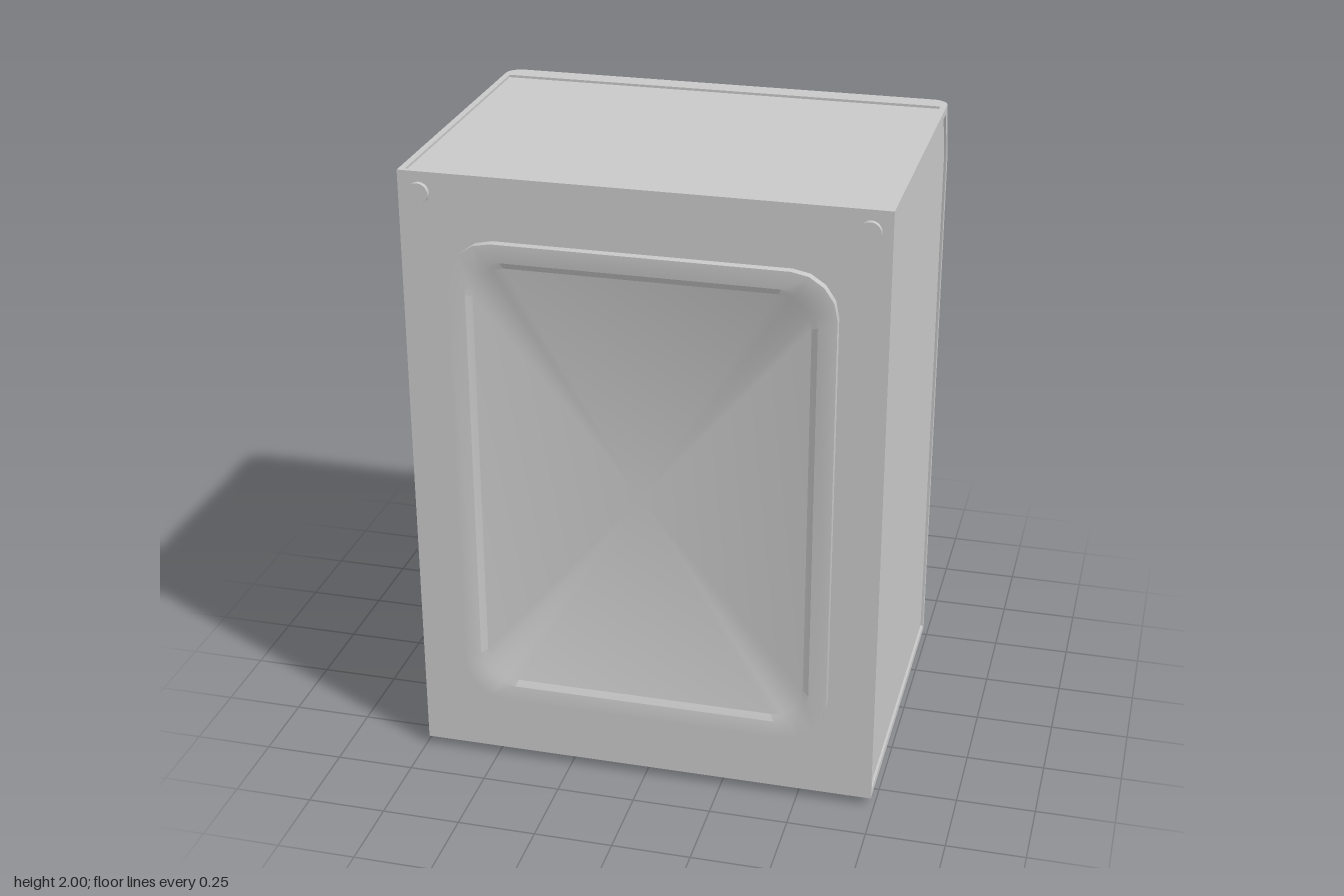
import * as THREE from 'three';
import { toCreasedNormals } from 'three/addons/utils/BufferGeometryUtils.js';

const V = (x, y, z) => new THREE.Vector3(x, y, z);

// Skin a row of equal-length closed rings and close both ends with fans
function loft(rings) {
  const pos = [];
  const tri = (...pts) => pts.forEach((p) => pos.push(p.x, p.y, p.z));
  const n = rings[0].length;
  for (let i = 0; i < rings.length - 1; i++) {
    for (let j = 0; j < n; j++) {
      const k = (j + 1) % n;
      const a = rings[i][j], b = rings[i][k], c = rings[i + 1][k], d = rings[i + 1][j];
      if (a.distanceTo(b) > 1e-6) tri(a, b, c);
      if (c.distanceTo(d) > 1e-6) tri(a, c, d);
    }
  }
  const centre = (r) => r.reduce((s, p) => s.add(p), V(0, 0, 0)).divideScalar(n);
  const first = rings[0], last = rings[rings.length - 1];
  const c0 = centre(first), c1 = centre(last);
  for (let j = 0; j < n; j++) {
    const k = (j + 1) % n;
    tri(c0, first[k], first[j]);
    tri(c1, last[j], last[k]);
  }
  const g = new THREE.BufferGeometry();
  g.setAttribute('position', new THREE.Float32BufferAttribute(pos, 3));
  return toCreasedNormals(g, 0.5);
}

// Horizontal cabinet section: rounded door-side corners, side panels sunk by "sink"
function section(y, zf, sink) {
  const w = 0.74, r = 0.05, half = [];
  half.push([w, 0.6], [w, 0.585], [w - sink, 0.585], [w - sink, zf + 0.075], [w, zf + 0.075]);
  for (let i = 0; i <= 6; i++) {
    const a = (i / 6) * Math.PI / 2;
    half.push([w - r + r * Math.cos(a), zf + r - r * Math.sin(a)]);
  }
  const other = half.map(([x, z]) => [-x, z]).reverse();
  return [...half, ...other].map(([x, z]) => V(x, y, z));
}

// Rounded rectangle ring facing +z
function roundRing(w, h, r, cy, z) {
  const pts = [];
  for (let q = 0; q < 4; q++) {
    const sx = q === 0 || q === 3 ? 1 : -1, sy = q < 2 ? 1 : -1;
    for (let i = 0; i <= 4; i++) {
      const a = (q + i / 4) * Math.PI / 2;
      pts.push(V(sx * (w - r) + r * Math.cos(a), cy + sy * (h - r) + r * Math.sin(a), z));
    }
  }
  return pts;
}

function rectPath(path, x0, x1, y0, y1, r) {
  path.moveTo(x0 + r, y0);
  path.lineTo(x1 - r, y0);
  path.quadraticCurveTo(x1, y0, x1, y0 + r);
  path.lineTo(x1, y1 - r);
  path.quadraticCurveTo(x1, y1, x1 - r, y1);
  path.lineTo(x0 + r, y1);
  path.quadraticCurveTo(x0, y1, x0, y1 - r);
  path.lineTo(x0, y0 + r);
  path.quadraticCurveTo(x0, y0, x0 + r, y0);
  return path;
}

export function createModel() {
  const model = new THREE.Group();
  const shell = new THREE.MeshStandardMaterial({ color: 0xc8c8c8 });
  shell.name = 'light grey enamel';
  const glass = new THREE.MeshStandardMaterial({ color: 0x586060 });
  glass.name = 'dark door glass';
  const add = (name, geo, mat = shell, parent = model) => {
    const m = new THREE.Mesh(geo, mat);
    m.name = name;
    parent.add(m);
    return m;
  };

  // Cabinet with sunken side and top panels and a sloping control edge
  const slopeZ = (y) => (y < 1.8 ? -0.54 : -0.54 + (y - 1.8) * 0.35);
  const layers = [[0.03, 0], [0.055, 0], [0.055, 0.008], [1.8, 0.008], [1.975, 0.008], [1.975, 0], [2, 0]];
  const rings = layers.map(([y, sink]) => section(y, slopeZ(y), sink));
  const inset = (y) => rings[6].map((p) =>
    V(THREE.MathUtils.clamp(p.x, -0.72, 0.72), y, THREE.MathUtils.clamp(p.z, -0.4, 0.585)));
  rings.push(inset(2), inset(1.992));
  add('cabinet', loft(rings));

  // Raised service panel with a shallow bevelled recess
  add('servicePanel', loft([
    roundRing(0.592, 0.787, 0.14, 1.015, 0.595),
    roundRing(0.592, 0.787, 0.14, 1.015, 0.627),
    roundRing(0.535, 0.73, 0.11, 1.015, 0.627),
    roundRing(0.515, 0.71, 0.1, 1.015, 0.616),
  ]));

  // Transit bolts and feet
  for (const s of [-1, 1]) {
    const bolt = add('transitBolt', new THREE.CylinderGeometry(0.033, 0.033, 0.02, 20));
    bolt.rotation.x = Math.PI / 2;
    bolt.position.set(s * 0.675, 1.935, 0.605);
    for (const z of [0.51, -0.455]) {
      add('foot', new THREE.CylinderGeometry(0.048, 0.048, 0.04, 12)).position.set(s * 0.655, 0.02, z);
    }
  }

  // Round door: bulging ring and flat glass
  const door = new THREE.Group();
  door.name = 'door';
  door.position.set(0, 1.055, -0.54);
  door.rotation.x = -Math.PI / 2;
  model.add(door);
  const profile = [[0.59, -0.01], [0.613, 0], [0.617, 0.025], [0.61, 0.048], [0.593, 0.068],
    [0.567, 0.082], [0.535, 0.088], [0.5, 0.088], [0.49, 0.084]];
  add('doorRing', new THREE.LatheGeometry(profile.map(([r, h]) => new THREE.Vector2(r, h)), 64), shell, door);
  add('doorGlass', new THREE.CylinderGeometry(0.492, 0.492, 0.009, 64), glass, door).position.y = 0.0835;

  // Sloping control panel; its outward side is local -z
  const controls = new THREE.Group();
  controls.name = 'controlPanel';
  controls.position.set(0, 1.9, -0.505);
  controls.rotation.x = Math.atan(0.35);
  model.add(controls);
  const plate = (name, x0, x1, y0, y1, r, depth, z, hole) => {
    const shape = rectPath(new THREE.Shape(), x0, x1, y0, y1, r);
    if (hole) shape.holes.push(rectPath(new THREE.Path(), ...hole));
    const geo = new THREE.ExtrudeGeometry(shape, { depth, bevelEnabled: false, curveSegments: 5 });
    add(name, geo, shell, controls).position.z = z;
  };
  plate('controlFascia', -0.68, 0.245, -0.075, 0.075, 0.012, 0.01, -0.008);
  plate('detergentDrawer', 0.251, 0.68, -0.075, 0.075, 0.012, 0.01, -0.008,
    [0.34, 0.59, -0.045, 0.03, 0.02]);
  plate('drawerHandle', 0.35, 0.58, 0.0, 0.028, 0.01, 0.008, -0.008);
  plate('displayScreen', -0.64, -0.31, -0.055, 0.055, 0.015, 0.005, -0.012);
  const knob = add('programKnob', new THREE.CylinderGeometry(0.062, 0.066, 0.035, 32), shell, controls);
  knob.rotation.x = -Math.PI / 2;
  knob.position.set(0, 0.01, -0.022);

  return model;
}
